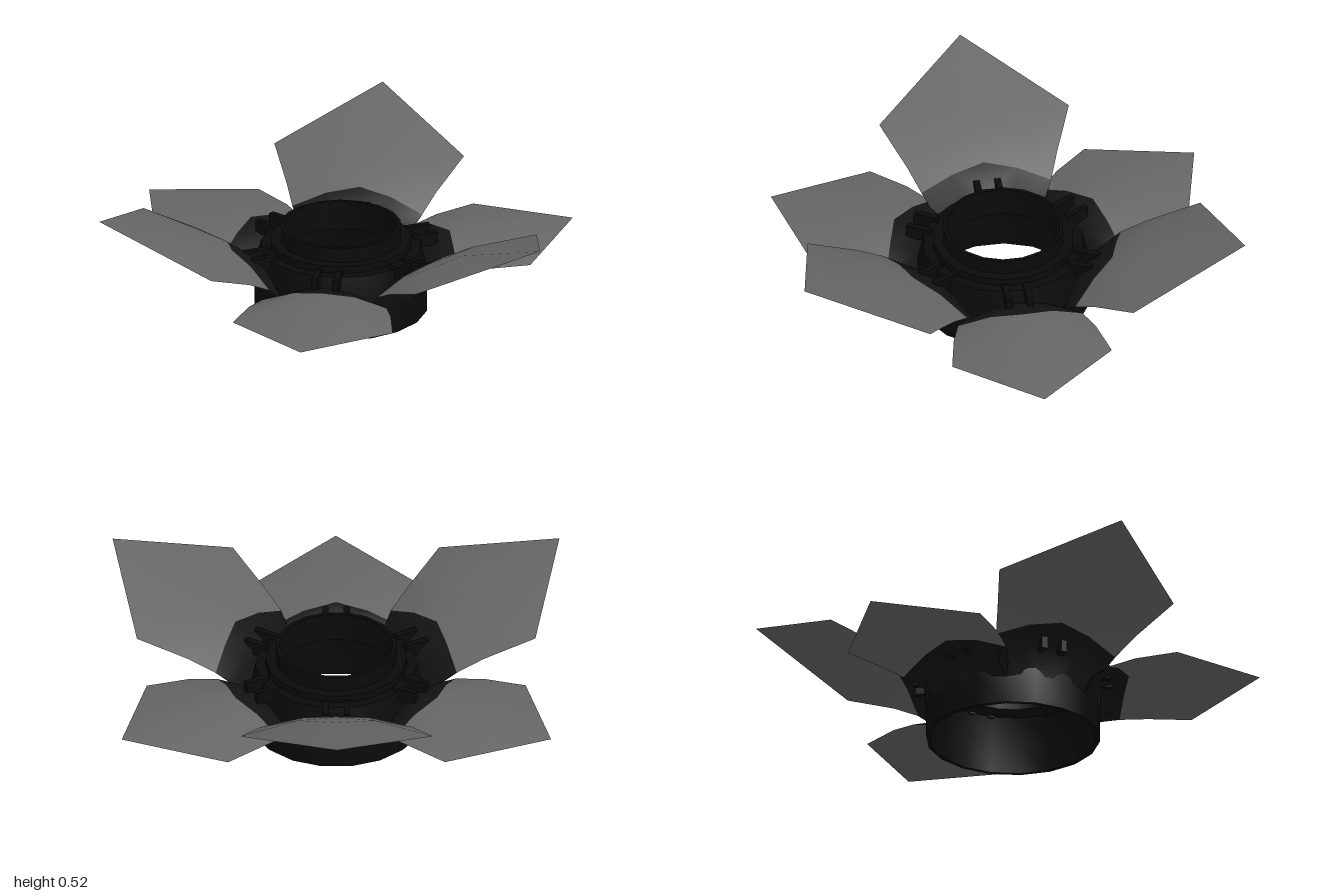
import * as THREE from 'three';
import { toCreasedNormals } from 'three/addons/utils/BufferGeometryUtils.js';

const bladeMat = new THREE.MeshStandardMaterial({ color: 0x666666, side: THREE.DoubleSide });
const baseMat = new THREE.MeshStandardMaterial({ color: 0x141414, side: THREE.DoubleSide });
const hubMat = new THREE.MeshStandardMaterial({ color: 0x0a0a0a });

// Petal surface along +z. Each row: ridge reach, ridge height, edge reach, edge height, half width, bulge
function petalGeometry(rows) {
  const pos = [], index = [], cols = [-1, -0.5, 0, 0.5, 1];
  for (const [rc, yc, rs, ys, w, bulge] of rows) {
    for (const u of cols) {
      const t = Math.abs(u);
      pos.push(u * w, yc + (ys - yc) * t ** bulge, rc + (rs - rc) * t);
    }
  }
  const n = cols.length;
  for (let i = 0; i < rows.length - 1; i++) {
    for (let j = 0; j < n - 1; j++) {
      const a = i * n + j, b = a + n, c = a + 1, d = b + 1;
      if (j < n / 2 - 1) index.push(a, b, c, c, b, d);
      else index.push(a, b, d, a, d, c);
    }
  }
  const g = new THREE.BufferGeometry();
  g.setAttribute('position', new THREE.Float32BufferAttribute(pos, 3));
  g.setIndex(index);
  g.computeVertexNormals();
  return g;
}

// A bulge of 1 is a straight section, more is a rounder ridge
const raisedRows = [
  [0.345, 0.12, 0.29, 0.10, 0.17, 1],
  [0.355, 0.255, 0.33, 0.165, 0.215, 1.7],
  [0.46, 0.31, 0.40, 0.235, 0.26, 1.8],
  [0.62, 0.388, 0.50, 0.29, 0.30, 1.8],
  [1.02, 0.52, 0.69, 0.37, 0.38, 1],
];
const lowRows = [
  [0.345, 0.12, 0.29, 0.10, 0.17, 1],
  [0.355, 0.23, 0.33, 0.155, 0.21, 1.7],
  [0.46, 0.252, 0.40, 0.18, 0.25, 1.8],
  [0.65, 0.257, 0.51, 0.195, 0.285, 1.8],
  [0.98, 0.225, 0.68, 0.20, 0.32, 1],
];

export function createModel() {
  const model = new THREE.Group();
  model.name = 'flower';
  const flower = new THREE.Group();
  flower.name = 'flowerParts';
  flower.position.z = -0.02;
  model.add(flower);

  // Stepped hub, hollow and open below
  const profile = [
    [0.345, 0], [0.345, 0.14], [0.32, 0.26], [0.28, 0.26], [0.28, 0.29], [0.24, 0.29], [0.24, 0.35],
    [0.225, 0.35], [0.225, 0.23], [0.305, 0.23], [0.325, 0.13], [0.33, 0], [0.345, 0],
  ].map(([x, y]) => new THREE.Vector2(x, y));
  const hubGeo = new THREE.LatheGeometry(profile, 18, Math.PI / 2);
  const hub = new THREE.Mesh(toCreasedNormals(hubGeo, 0.5), hubMat);
  hub.name = 'hub';
  flower.add(hub);

  // Three raised petals alternating with three low ones, each a dark base and a pale blade
  const kinds = [['raised', raisedRows], ['low', lowRows]].map(([name, rows]) => ({
    name, base: petalGeometry(rows.slice(0, 3)), blade: petalGeometry(rows.slice(2)),
  }));
  const pegGeo = new THREE.BoxGeometry(0.025, 0.055, 0.1);

  for (let i = 0; i < 6; i++) {
    const kind = kinds[i % 2];
    const unit = new THREE.Group();
    unit.name = kind.name + 'Petal';
    unit.rotation.y = i * Math.PI / 3;
    const base = new THREE.Mesh(kind.base, baseMat);
    base.name = 'petalBase';
    const blade = new THREE.Mesh(kind.blade, bladeMat);
    blade.name = 'petalBlade';
    unit.add(base, blade);
    // Pair of hinge pegs
    for (const s of [-1, 1]) {
      const peg = new THREE.Mesh(pegGeo, hubMat);
      peg.name = 'hingePeg';
      peg.position.set(s * 0.042, 0.25, 0.34);
      unit.add(peg);
    }
    flower.add(unit);
  }
  return model;
}
